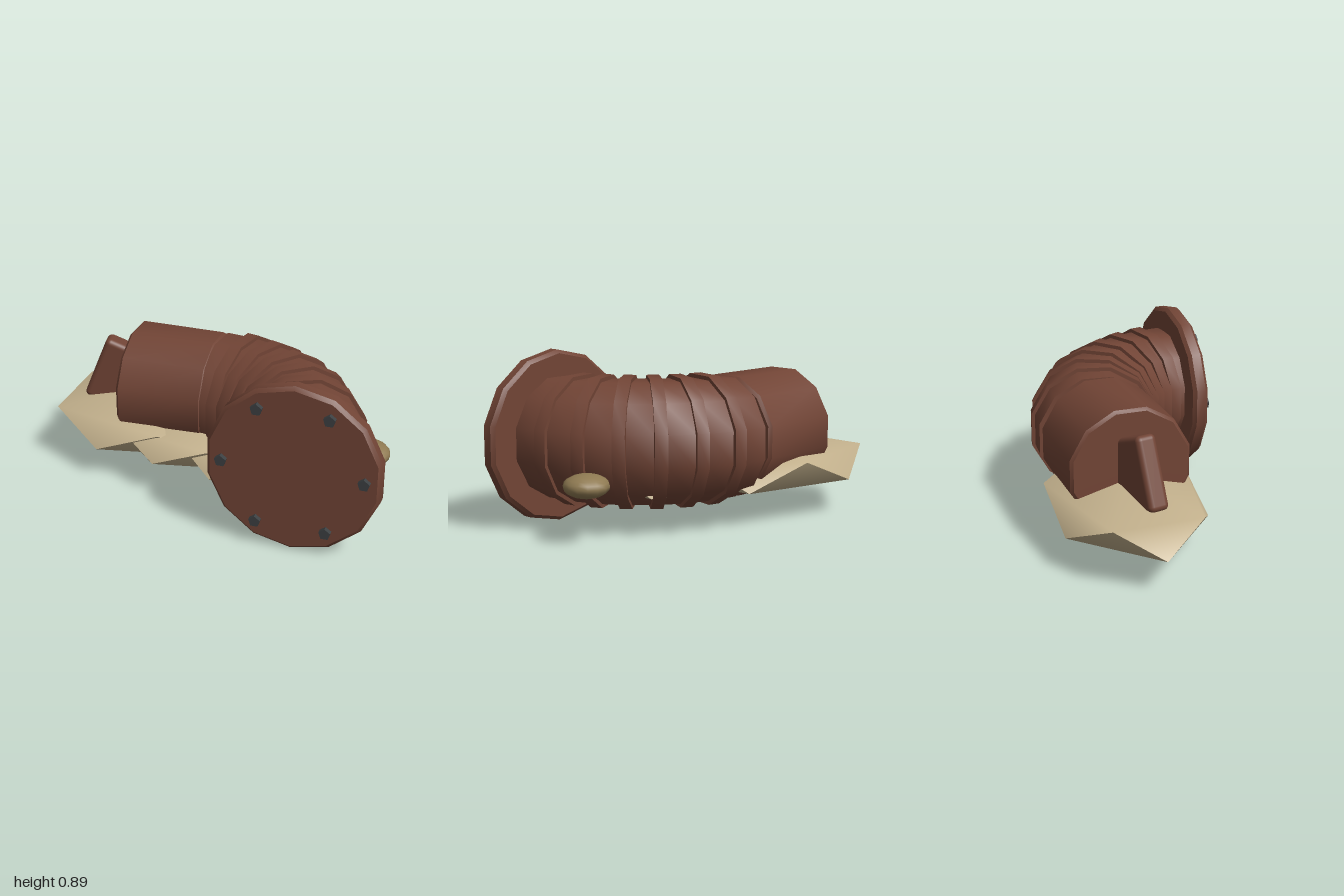
import * as THREE from 'three';
import { toCreasedNormals } from 'three/addons/utils/BufferGeometryUtils.js';
import { RoundedBoxGeometry } from 'three/addons/geometries/RoundedBoxGeometry.js';

const CREASE = THREE.MathUtils.degToRad(36);

function material(name, color) {
  const m = new THREE.MeshStandardMaterial({ color });
  m.name = name;
  return m;
}

// Bevelled drum lying along z
function drum(radius, length, bevel, sides, phase = 0) {
  const h = length / 2;
  const profile = [
    [0, -h], [radius - bevel, -h], [radius, -h + bevel],
    [radius, h - bevel], [radius - bevel, h], [0, h],
  ].map(([x, y]) => new THREE.Vector2(x, y));
  const g = new THREE.LatheGeometry(profile, sides, phase);
  g.rotateX(Math.PI / 2);
  return toCreasedNormals(g, CREASE);
}

// Plain sharp-edged cylinder lying along z
function disc(radius, length, sides, phase) {
  const g = new THREE.CylinderGeometry(radius, radius, length, sides, 1, false, phase);
  g.rotateX(Math.PI / 2);
  return toCreasedNormals(g, CREASE);
}

// Squashed twenty-sided mound: smooth upper and lower shells meet in a zigzag rim
function mound(rx, rz, ry) {
  const pos = [];
  const index = [];
  for (const side of [1, -1]) {
    const base = pos.length / 3;
    for (let i = 0; i < 10; i++) {
      const a = (i / 10) * Math.PI * 2;
      pos.push(rx * Math.cos(a), (i % 2 ? -0.447 : 0.447) * ry, rz * Math.sin(a));
    }
    pos.push(0, side * ry, 0);
    const face = (a, b, c) => index.push(base + a, base + (side > 0 ? c : b), base + (side > 0 ? b : c));
    for (let k = side > 0 ? 0 : 1; k < 10; k += 2) {
      const next = (k + 2) % 10;
      face(10, k, next);
      face(k, (k + 1) % 10, next);
    }
  }
  const g = new THREE.BufferGeometry();
  g.setAttribute('position', new THREE.Float32BufferAttribute(pos, 3));
  g.setIndex(index);
  g.computeVertexNormals();
  return g;
}

export function createModel() {
  const rust = material('rustyMetal', 0x714435);
  const sand = material('sand', 0xc2b08c);
  const stone = material('stone', 0x8f7a52);
  const steel = material('darkSteel', 0x3c4042);

  const model = new THREE.Group();
  model.name = 'buriedPipeElbow';
  const add = (name, geometry, mat, x, y, z, parent = model) => {
    const mesh = new THREE.Mesh(geometry, mat);
    mesh.name = name;
    mesh.position.set(x, y, z);
    parent.add(mesh);
    return mesh;
  };

  const Y = 0.446;
  const FLAT = Math.PI / 12; // turns a 12-sided pipe so a flat side is on top

  // Straight pipe
  const pipe = add('straightPipe', drum(0.32, 0.478, 0.015, 12, FLAT), rust, -0.273, Y, -0.17);
  pipe.rotation.y = Math.PI / 2;

  // Ribbed elbow: seven short pipes with a rib over each joint
  const elbow = new THREE.Group();
  elbow.name = 'elbow';
  model.add(elbow);
  const bend = 0.6, count = 7, step = Math.PI / 2 / count;
  const section = disc(0.319, 2 * bend * Math.tan(step / 2), 12, FLAT);
  const rib = disc(0.339, 0.064, 12, FLAT);
  const onBend = (name, geometry, a) => {
    const m = add(name, geometry, rust, -0.03 + bend * Math.sin(a), Y, 0.43 - bend * Math.cos(a), elbow);
    m.rotation.y = Math.PI / 2 - a;
  };
  for (let i = 0; i < count; i++) {
    onBend('elbowSection', section, (i + 0.5) * step);
    if (i > 0) onBend('elbowRib', rib, i * step);
  }

  // End flange with six bolts
  add('flange', drum(0.446, 0.086, 0.018, 14), rust, 0.565, Y, 0.472);
  const bolt = disc(0.031, 0.04, 5, Math.PI);
  for (let i = 0; i < 6; i++) {
    const a = (i * Math.PI) / 3;
    add('bolt', bolt, steel, 0.565 + 0.357 * Math.cos(a), Y + 0.357 * Math.sin(a), 0.52);
  }

  // Tilted plate sticking out of the open end
  const plate = add('brokenPlate', new RoundedBoxGeometry(0.5, 0.37, 0.108, 4, 0.028), rust, -0.51, 0.421, -0.185);
  plate.rotation.set(0, THREE.MathUtils.degToRad(11), THREE.MathUtils.degToRad(-22));

  // Sand drifts underneath
  add('largeSandDrift', mound(0.57, 0.39, 0.157), sand, -0.43, 0.25, -0.17);
  add('middleSandDrift', mound(0.485, 0.33, 0.134), sand, -0.11, 0.25, -0.05);
  add('smallSandDrift', mound(0.39, 0.34, 0.112), sand, 0.2, 0.25, 0.01);

  // Boulder beside the elbow
  const boulder = add('boulder', new THREE.SphereGeometry(1, 14, 10), stone, 0.812, 0.292, -0.048);
  boulder.scale.set(0.115, 0.06, 0.116);

  return model;
}
